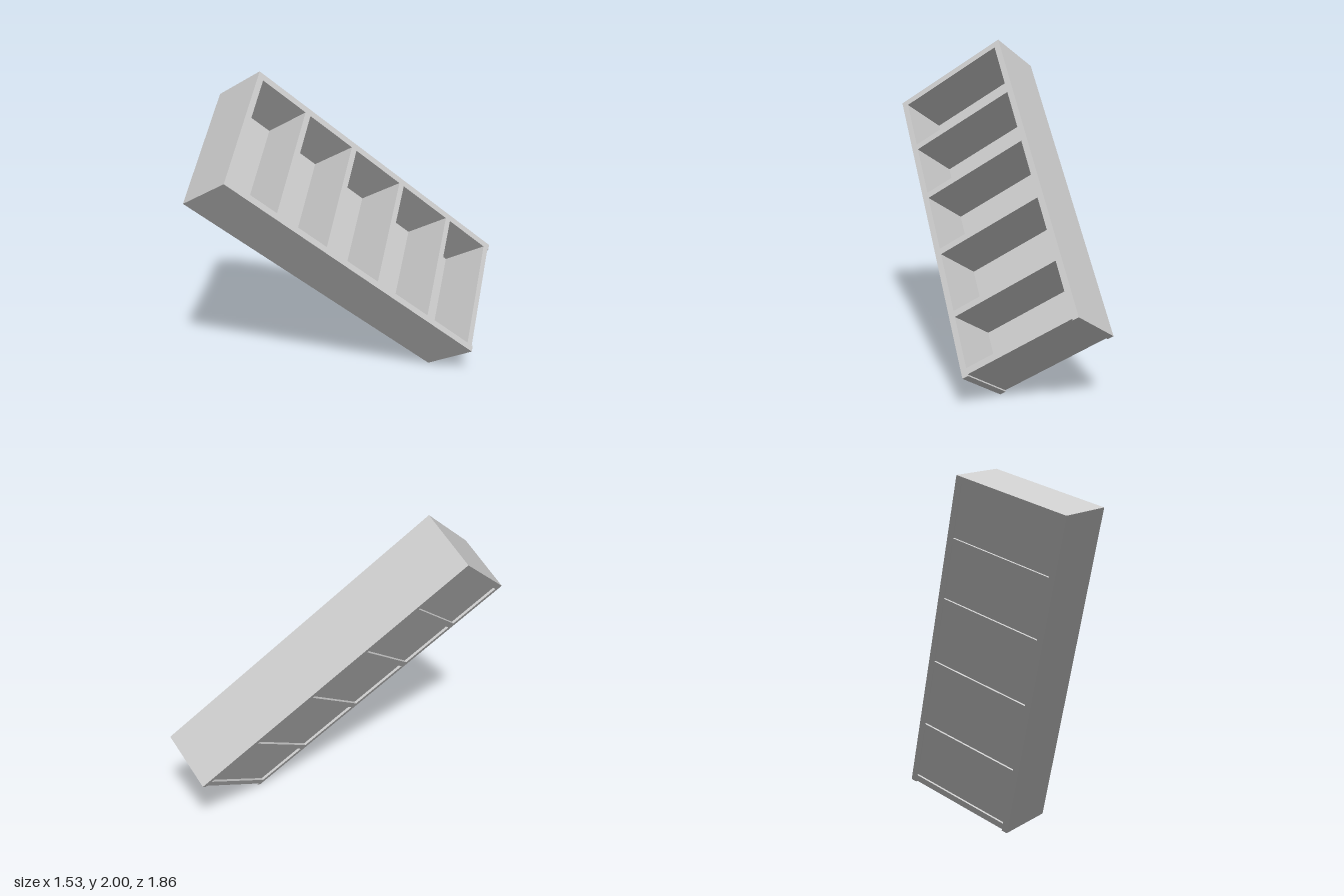
import * as THREE from 'three';

const W = 0.81, H = 2.075, D = 0.38; // outer width, height, depth
const T = 0.04;                      // board thickness

export function createModel() {
  const model = new THREE.Group();
  const bookcase = new THREE.Group();
  bookcase.name = 'bookcase';
  model.add(bookcase);
  const material = new THREE.MeshStandardMaterial({ color: 0xcccccc, flatShading: true });

  const board = (name, w, h, d, x, y, z) => {
    const mesh = new THREE.Mesh(new THREE.BoxGeometry(w, h, d), material);
    mesh.name = name;
    mesh.position.set(x, y, z);
    bookcase.add(mesh);
  };

  // Full-height side panels
  board('leftSide', T, H, D, (W - T) / 2, 0, 0);
  board('rightSide', T, H, D, -(W - T) / 2, 0, 0);

  // Boards between the sides; the bottom sits slightly above the side ends
  const inner = W - 2 * T;
  board('top', inner, T, D, 0, (H - T) / 2, 0);
  board('bottom', inner, T, D, 0, -(H - T) / 2 + 0.01, 0);

  // Shelves, placed by fraction of height measured from the top
  [0.193, 0.382, 0.588, 0.802].forEach((f, i) => {
    board('shelf' + (i + 1), inner, T, D, 0, H / 2 - f * H, 0);
  });

  // Thin back panel, slightly inset from the rear edges
  board('backPanel', inner, H - 2 * T, 0.025, 0, 0, -D / 2 + 0.0275);

  // The whole case is tipped over onto one corner
  const up = new THREE.Vector3(-0.523, 0.657, 0.543).normalize();
  const front = new THREE.Vector3(0.838, 0.515, 0.178);
  const side = new THREE.Vector3().crossVectors(up, front).normalize();
  front.crossVectors(side, up);
  bookcase.quaternion.setFromRotationMatrix(new THREE.Matrix4().makeBasis(side, up, front));
  bookcase.position.y = 1;
  return model;
}
